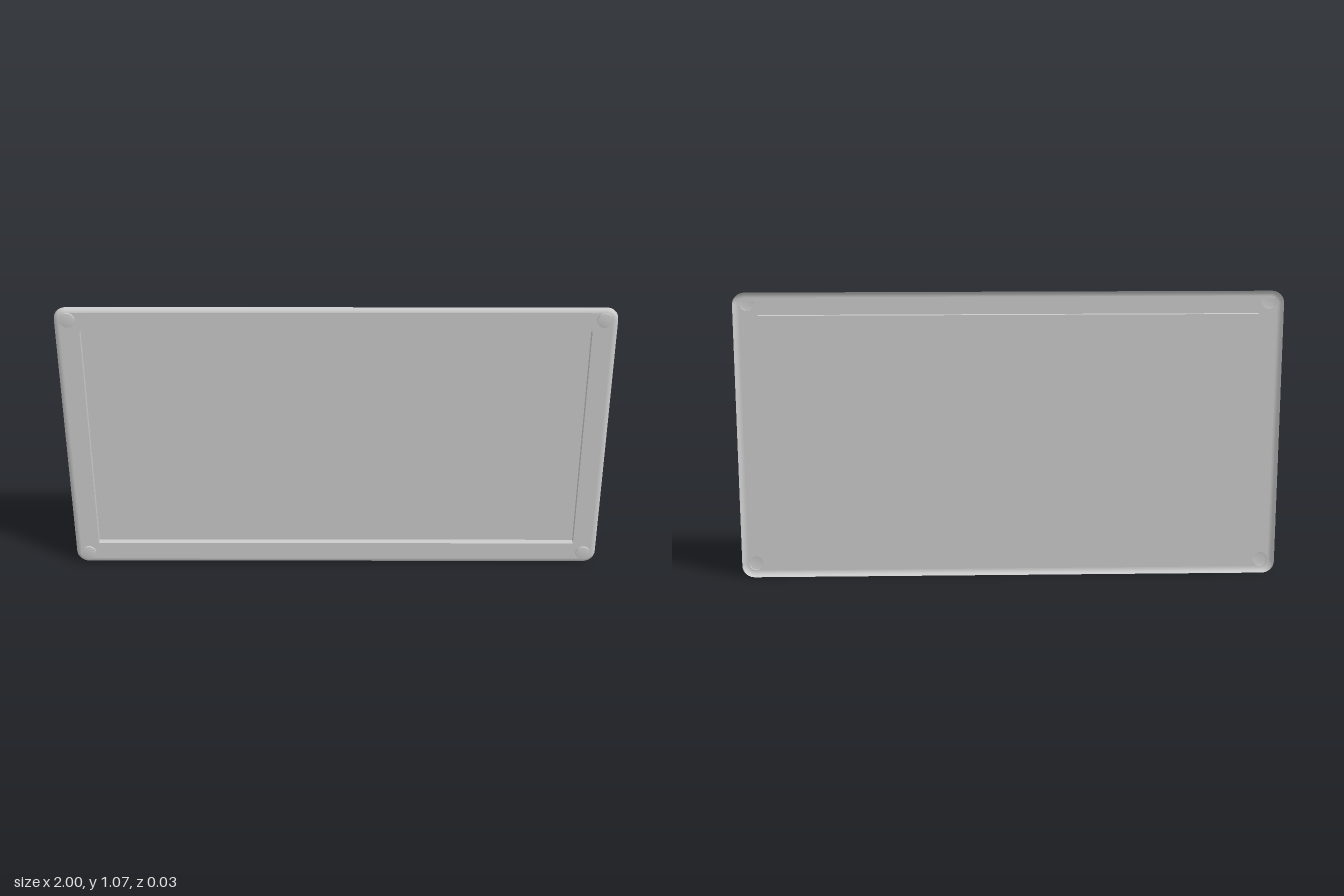
import * as THREE from 'three';

const HEIGHT = 1.07, MID = HEIGHT / 2;
const CORNER = 0.045;            // outer corner radius
const FACE_Z = 0.008, RIM_Z = -0.011, BACK_Z = -0.017;
const BEVEL = 0.02;              // width of the rounded outer edge
const INNER_W = 0.91, INNER_H = 0.448;
const STUD_R = 0.027;

// Rounded rectangle outline, pulled inward by the given inset
function outline(inset, steps = 8) {
  const pts = [], r = CORNER - inset;
  const corners = [[1, 1], [-1, 1], [-1, -1], [1, -1]];
  corners.forEach(([sx, sy], c) => {
    for (let i = 0; i <= steps; i++) {
      const a = (c + i / steps) * Math.PI / 2;
      pts.push(new THREE.Vector2(
        sx * (1 - CORNER) + r * Math.cos(a),
        MID + sy * (MID - CORNER) + r * Math.sin(a)));
    }
  });
  return pts;
}

// Skin between closed rings of { points, z }
function loft(rings) {
  const pos = [], index = [], n = rings[0].points.length;
  for (const { points, z } of rings) for (const p of points) pos.push(p.x, p.y, z);
  for (let j = 0; j < rings.length - 1; j++) {
    for (let i = 0; i < n; i++) {
      const a = j * n + i, b = j * n + (i + 1) % n;
      index.push(a, b, b + n, a, b + n, a + n);
    }
  }
  const g = new THREE.BufferGeometry();
  g.setAttribute('position', new THREE.Float32BufferAttribute(pos, 3));
  g.setIndex(index);
  return g;
}

export function createModel() {
  const model = new THREE.Group();
  model.name = 'framedPanel';
  const material = new THREE.MeshStandardMaterial({ color: 0xcccccc, side: THREE.DoubleSide });
  const add = (name, geometry) => {
    const mesh = new THREE.Mesh(geometry, material);
    mesh.name = name;
    model.add(mesh);
    return mesh;
  };

  const studs = [];
  for (const x of [-0.95, 0.95]) for (const y of [0.049, HEIGHT - 0.041]) studs.push([x, y]);

  // Rounded outer edge of the pressed sheet, open at the back
  const rings = [];
  for (let i = 0; i <= 6; i++) {
    const a = i / 6 * Math.PI / 2;
    rings.push({
      points: outline(BEVEL * (1 - Math.cos(a))),
      z: RIM_Z + (FACE_Z - RIM_Z) * Math.sin(a),
    });
  }
  const rim = loft(rings);
  rim.computeVertexNormals();
  add('outerRim', rim);

  // Flat frame face with the window and the stud openings
  const inner = [[1, 1], [-1, 1], [-1, -1], [1, -1]]
    .map(([sx, sy]) => new THREE.Vector2(sx * INNER_W, MID + 0.003 + sy * INNER_H));
  const face = new THREE.Shape(outline(BEVEL));
  face.holes.push(new THREE.Path(inner));
  for (const [x, y] of studs) {
    face.holes.push(new THREE.Path().absarc(x, y, STUD_R, 0, Math.PI * 2, true));
  }
  add('frameFace', new THREE.ShapeGeometry(face, 16).translate(0, 0, FACE_Z));

  // Straight wall stepping back to the recessed panel
  const wall = loft([{ points: inner, z: FACE_Z }, { points: inner, z: BACK_Z }]).toNonIndexed();
  wall.computeVertexNormals();
  add('innerWall', wall);

  // Recessed centre panel
  add('centrePanel', new THREE.ShapeGeometry(new THREE.Shape(inner)).translate(0, 0, BACK_Z));

  // Hollow corner studs: straight sides and a slightly domed cap
  const side = new THREE.CylinderGeometry(STUD_R, STUD_R, 0.007, 32, 1, true)
    .rotateX(Math.PI / 2).translate(0, 0, FACE_Z + 0.0035);
  const profile = [[STUD_R, 0.015], [0.02, 0.0161], [0.01, 0.0168], [0, 0.017]]
    .map(([r, z]) => new THREE.Vector2(r, z));
  const cap = new THREE.LatheGeometry(profile, 32).rotateX(Math.PI / 2);
  for (const [x, y] of studs) {
    add('studSide', side).position.set(x, y, 0);
    add('studCap', cap).position.set(x, y, 0);
  }
  return model;
}
